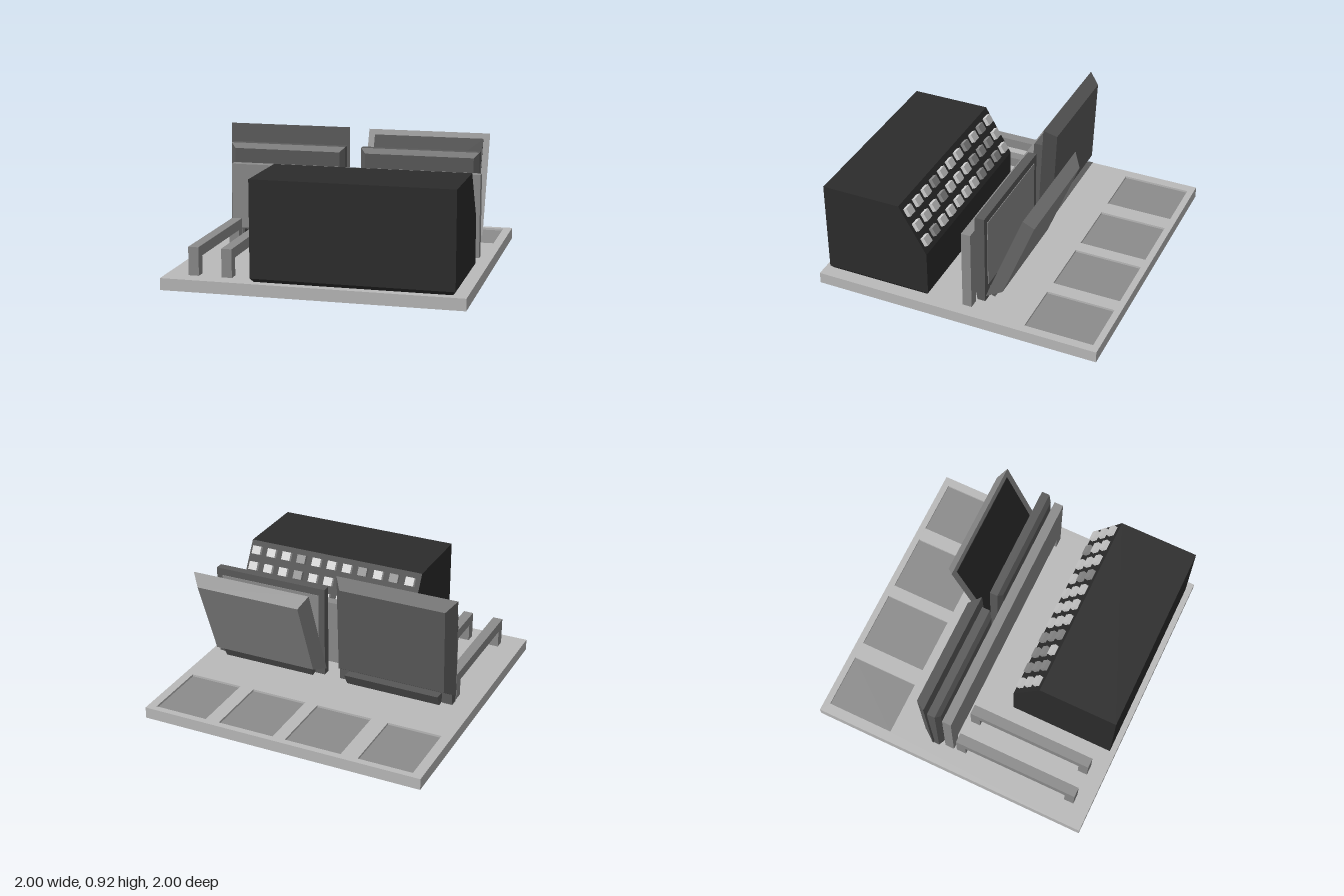
import * as THREE from 'three';

const material = (name, color) => {
  const m = new THREE.MeshStandardMaterial({ color });
  m.name = name;
  return m;
};

export function createModel() {
  const light = material('light grey', 0xbababa);
  const grey = material('mid grey', 0x8c8c8c);
  const dark = material('dark grey', 0x5a5a5a);
  const black = material('charcoal', 0x2c2c2c);
  const pale = material('pale button', 0xd0d0d0);

  const model = new THREE.Group();
  model.name = 'workstation';

  const add = (parent, name, geometry, mat) => {
    const mesh = new THREE.Mesh(geometry, mat);
    mesh.name = name;
    parent.add(mesh);
    return mesh;
  };
  // Box given by its minimum and maximum corners
  const box = (parent, name, mat, x0, x1, y0, y1, z0, z1) => {
    const g = new THREE.BoxGeometry(x1 - x0, y1 - y0, z1 - z0);
    g.translate((x0 + x1) / 2, (y0 + y1) / 2, (z0 + z1) / 2);
    return add(parent, name, g, mat);
  };
  // Box with the face on one side of an axis drawn in by an inset
  const taperedBox = (w, h, d, axis, side, inset) => {
    const g = new THREE.BoxGeometry(w, h, d);
    const p = g.attributes.position;
    for (let i = 0; i < p.count; i++) {
      const v = new THREE.Vector3().fromBufferAttribute(p, i);
      if (Math.sign(v[axis]) === side) {
        for (const a of ['x', 'y', 'z']) if (a !== axis) v[a] -= Math.sign(v[a]) * inset;
      }
      p.setXYZ(i, v.x, v.y, v.z);
    }
    g.computeVertexNormals();
    return g;
  };
  // Profile of [z, y] points extruded along x
  const prism = (points, x0, x1) => {
    const shape = new THREE.Shape(points.map(([z, y]) => new THREE.Vector2(-z, y)));
    const g = new THREE.ExtrudeGeometry(shape, { depth: x1 - x0, bevelEnabled: false });
    g.rotateY(Math.PI / 2);
    g.translate(x0, 0, 0);
    return g;
  };

  // Floor slab with four shallow recesses along the back
  box(model, 'floorSlab', light, -1, 1, 0, 0.06, -1, 1);
  const top = new THREE.Shape([[-1, -1], [1, -1], [1, 1], [-1, 1]].map(p => new THREE.Vector2(...p)));
  for (const [x0, x1] of [[-0.93, -0.55], [-0.43, -0.03], [0.06, 0.46], [0.56, 0.94]]) {
    top.holes.push(new THREE.Path([[x0, 0.48], [x0, 0.955], [x1, 0.955], [x1, 0.48]].map(p => new THREE.Vector2(...p))));
    box(model, 'recessPad', grey, x0, x1, 0.06, 0.065, -0.955, -0.48);
  }
  const topGeometry = new THREE.ExtrudeGeometry(top, { depth: 0.02, bevelEnabled: false });
  topGeometry.rotateX(-Math.PI / 2);
  topGeometry.translate(0, 0.06, 0);
  add(model, 'floorTop', topGeometry, light);

  // Two low rails on legs
  for (const x of [-0.845, -0.62]) {
    const rail = new THREE.Group();
    rail.name = 'rail';
    model.add(rail);
    box(rail, 'railBar', grey, x, x + 0.07, 0.2, 0.27, -0.005, 0.885);
    for (const z of [-0.005, 0.815]) box(rail, 'railLeg', grey, x, x + 0.07, 0.08, 0.2, z, z + 0.07);
  }

  // Raised divider panel on end legs
  box(model, 'dividerPanel', grey, -0.85, 0.91, 0.2, 0.655, -0.09, -0.025);
  for (const x of [-0.85, 0.84]) box(model, 'dividerLeg', grey, x, x + 0.07, 0.08, 0.2, -0.09, -0.025);

  // Control console with sloped back and tapered foot
  const console = new THREE.Group();
  console.name = 'console';
  model.add(console);
  add(console, 'consoleBody', prism(
    [[0.96, 0.105], [0.96, 0.75], [0.41, 0.75], [0.22, 0.42], [0.22, 0.105]].reverse(), -0.405, 0.925), black);
  add(console, 'consoleFoot', taperedBox(1.33, 0.025, 0.74, 'y', -1, 0.02), black)
    .position.set(0.26, 0.0925, 0.59);

  // Three rows of buttons on the slope
  const buttonGeometry = new THREE.BoxGeometry(0.066, 0.06, 0.04);
  const greyColumns = [[1, 3, 7], [1, 2, 3, 7], [1, 2, 3, 9]];
  [[0.375, 0.69], [0.317, 0.59], [0.259, 0.489]].forEach(([z, y], row) => {
    for (let c = 0; c < 11; c++) {
      const b = add(console, 'button', buttonGeometry, greyColumns[row].includes(c) ? grey : pale);
      b.position.set(-0.335 + c * 0.12, y + 0.003, z - 0.007);
      b.rotation.x = -Math.PI * 5 / 6;
    }
  });

  // Upright folding units: deck, hinge and tilted lid
  const foldingUnit = (name, x, z, tilt, lidMaterial, hasScreen) => {
    const unit = new THREE.Group();
    unit.name = name;
    unit.position.x = x;
    model.add(unit);
    box(unit, 'deck', dark, -0.413, 0.413, 0.14, 0.79, -0.178, -0.122);
    add(unit, 'deckBevel', taperedBox(0.826, 0.65, 0.027, 'z', 1, 0.035), dark)
      .position.set(0, 0.465, -0.1085);
    if (hasScreen) box(unit, 'keyPanel', grey, -0.37, 0.37, 0.25, 0.74, -0.182, -0.177);
    add(unit, 'hinge', prism([[-0.17, 0.15], [-0.215, 0.137], [-0.262, 0.222], [-0.17, 0.21]], -0.34, 0.34), dark);

    const lid = new THREE.Group();
    lid.name = 'lid';
    lid.position.set(0, 0.2, z);
    lid.rotation.x = -tilt;
    unit.add(lid);
    add(lid, 'lidShell', taperedBox(0.865, 0.72, 0.08, 'z', -1, 0.057), lidMaterial)
      .position.set(0, 0.36, -0.04);
    if (hasScreen) box(lid, 'screen', black, -0.388, 0.388, 0.04, 0.68, -0.002, 0.004);
  };
  foldingUnit('closedUnit', -0.467, -0.155, 0.045, dark, false);
  foldingUnit('openUnit', 0.473, -0.19, 0.37, grey, true);

  return model;
}
